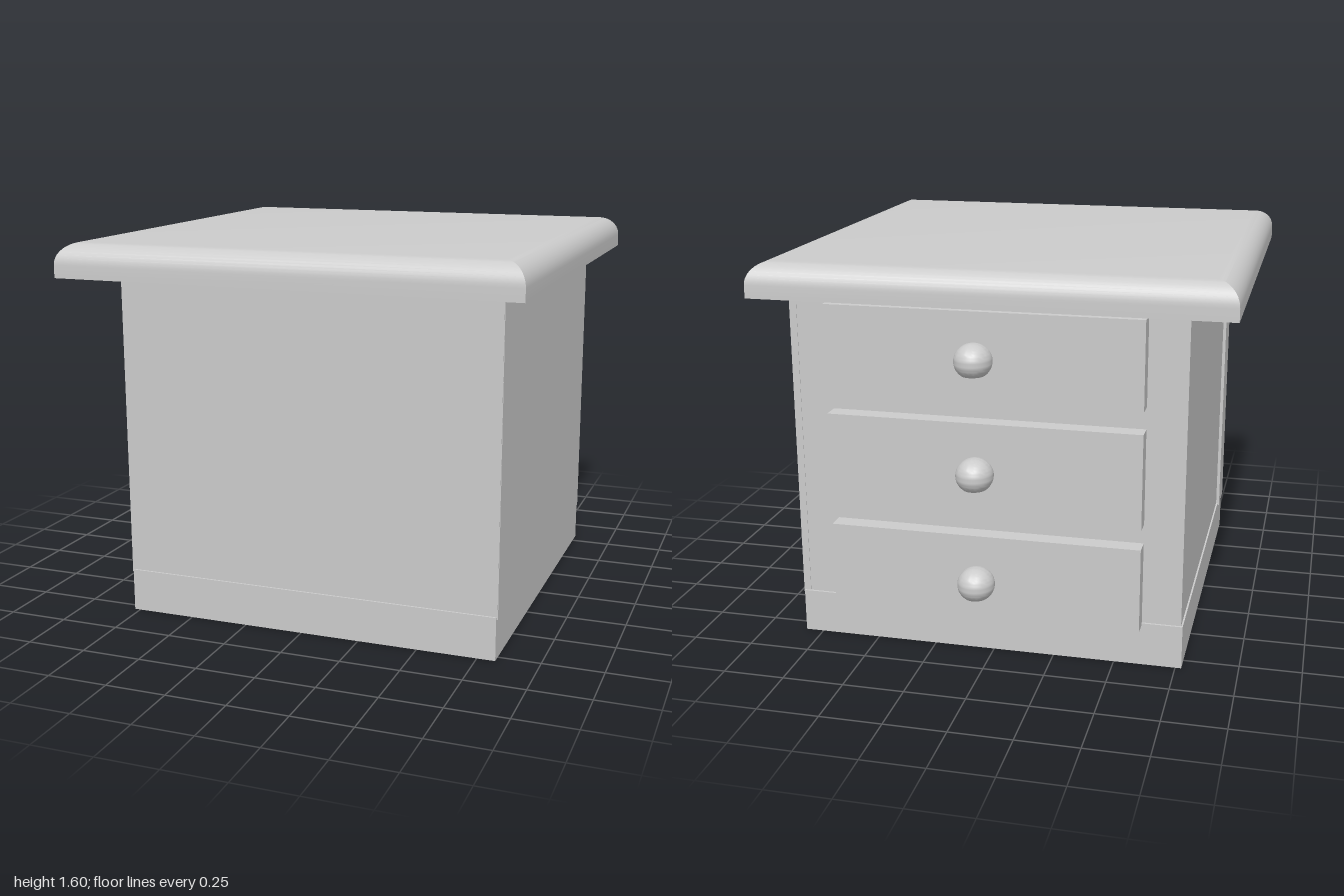
import * as THREE from 'three';
import { toCreasedNormals } from 'three/addons/utils/BufferGeometryUtils.js';

const material = new THREE.MeshStandardMaterial({ color: 0xcccccc });

function addMesh(parent, name, geometry) {
  const mesh = new THREE.Mesh(geometry, material);
  mesh.name = name;
  parent.add(mesh);
  return mesh;
}

// Box given by its extents on each axis
function addBox(parent, name, [x0, x1], [y0, y1], [z0, z1]) {
  const mesh = addMesh(parent, name, new THREE.BoxGeometry(x1 - x0, y1 - y0, z1 - z0));
  mesh.position.set((x0 + x1) / 2, (y0 + y1) / 2, (z0 + z1) / 2);
  return mesh;
}

// Slab whose upper edges are rounded and meet in mitred corners
function mitredSlab([x0, x1], [y0, y1], [z0, z1], radius) {
  const rings = [[0, y0]];
  const steps = 10;
  for (let i = 0; i <= steps; i++) {
    const a = (i / steps) * Math.PI / 2;
    rings.push([radius * (1 - Math.cos(a)), y1 - radius * (1 - Math.sin(a))]);
  }
  const positions = [];
  const index = [];
  for (const [d, y] of rings) {
    positions.push(x0 + d, y, z1 - d, x1 - d, y, z1 - d, x1 - d, y, z0 + d, x0 + d, y, z0 + d);
  }
  for (let r = 0; r < rings.length - 1; r++) {
    for (let k = 0; k < 4; k++) {
      const a = r * 4 + k, b = r * 4 + (k + 1) % 4;
      index.push(a, b, b + 4, a, b + 4, a + 4);
    }
  }
  const t = (rings.length - 1) * 4;
  index.push(t, t + 1, t + 2, t, t + 2, t + 3, 0, 2, 1, 0, 3, 2);
  const geometry = new THREE.BufferGeometry();
  geometry.setAttribute('position', new THREE.Float32BufferAttribute(positions, 3));
  geometry.setIndex(index);
  return toCreasedNormals(geometry, Math.PI / 7);
}

// Rounded knob with a hollowed finger grip underneath
function knobGeometry() {
  const geometry = new THREE.SphereGeometry(1, 40, 32);
  geometry.scale(0.075, 0.07, 0.08);
  const p = geometry.attributes.position;
  for (let i = 0; i < p.count; i++) {
    const x = p.getX(i), z = p.getZ(i);
    const grip = -0.06 + 0.018 * Math.exp(-((x / 0.04) ** 2) - (((z + 0.01) / 0.035) ** 2));
    p.setY(i, Math.max(p.getY(i), grip));
  }
  return toCreasedNormals(geometry, Math.PI / 5);
}

export function createModel() {
  const model = new THREE.Group();
  model.name = 'drawerCabinet';

  // Carcass: plinth, recessed body, front board and side panel
  addBox(model, 'plinth', [-0.775, 0.825], [0, 0.18], [-0.82, 0.79]);
  addBox(model, 'body', [-0.768, 0.82], [0.1, 1.46], [-0.81, 0.77]);
  addBox(model, 'frontBoard', [-0.782, 0.828], [0.17, 1.46], [0.61, 0.782]);
  addBox(model, 'sidePanel', [0.8, 0.83], [0.17, 1.46], [-0.812, 0.78]);

  // Overhanging top
  addMesh(model, 'top', mitredSlab([-0.955, 0.955], [1.455, 1.595], [-0.945, 1], 0.088));

  // Drawers on the back, each with a knob
  const knob = knobGeometry();
  const drawers = [[0.17, 0.52, 0.33], [0.6, 0.99, 0.79], [1.08, 1.435, 1.25]];
  for (const [bottom, top, knobY] of drawers) {
    const drawer = new THREE.Group();
    drawer.name = 'drawer';
    addBox(drawer, 'drawerFront', [-0.61, 0.66], [bottom, top], [-0.885, -0.8]);
    addMesh(drawer, 'knob', knob).position.set(0.045, knobY, -0.92);
    model.add(drawer);
  }
  return model;
}
